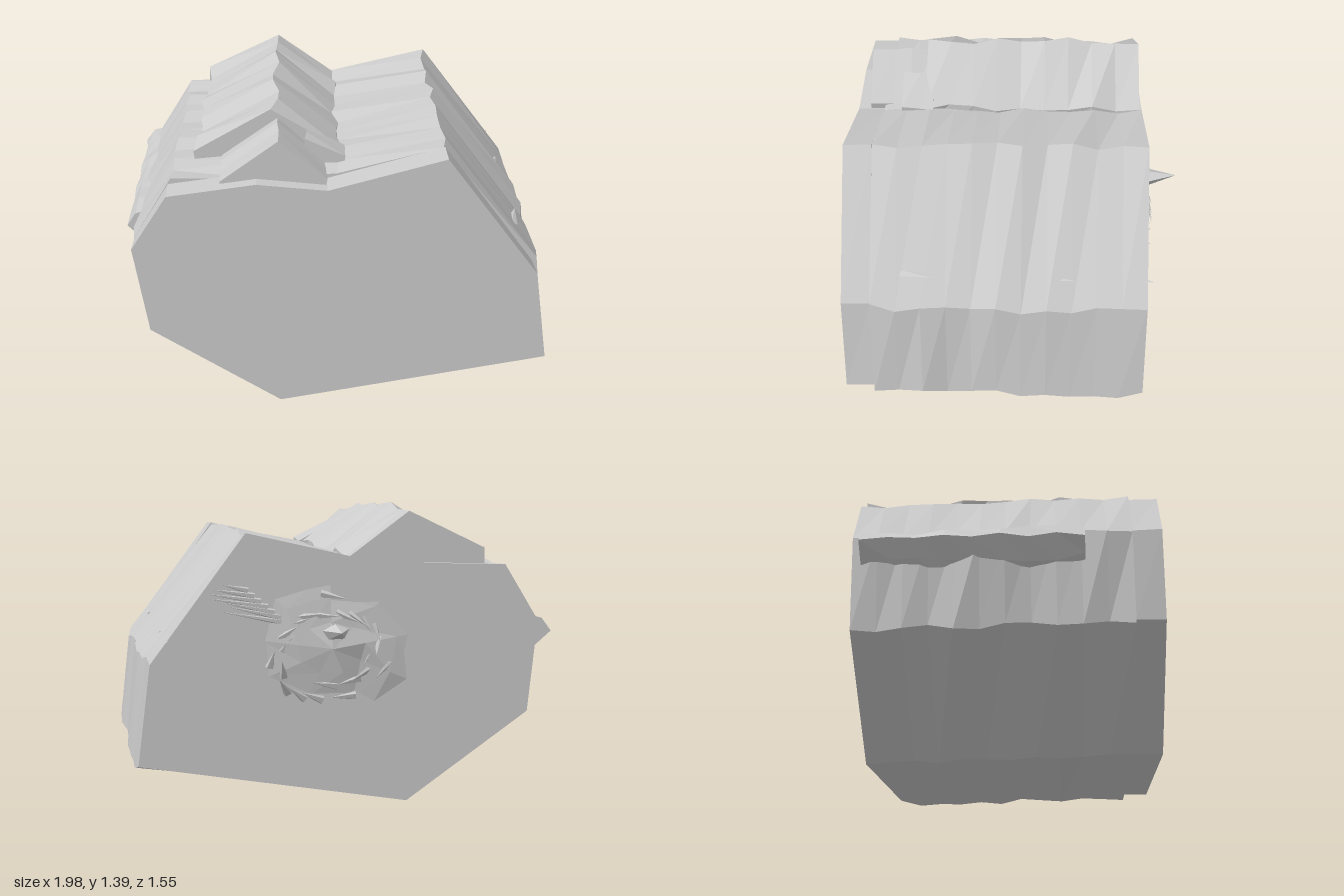
import * as THREE from 'three';

const material = new THREE.MeshStandardMaterial({ color: 0xcccccc, flatShading: true, side: THREE.DoubleSide });

// Small seeded noise source in the range -1..1
function seeded(seed) {
  return () => {
    seed = (seed * 16807) % 2147483647;
    return (seed / 2147483647) * 2 - 1;
  };
}

// Joins a counter-clockwise [x, y] outline through a list of z stations,
// front to back, shifting each corner a little to give chipped strata.
function strata(name, outline, stations, rough, seed) {
  const rnd = seeded(seed);
  const rings = stations.map((z) => outline.map(([x, y]) => new THREE.Vector3(
    x + rnd() * rough, Math.max(0.005, y + rnd() * rough), z)));
  const pos = [];
  const tri = (...corners) => corners.forEach((p) => pos.push(p.x, p.y, p.z));
  const n = outline.length;
  for (let s = 0; s < rings.length - 1; s++) {
    const f = rings[s], b = rings[s + 1];
    for (let i = 0; i < n; i++) {
      const j = (i + 1) % n;
      tri(f[i], b[i], b[j]);
      tri(f[i], b[j], f[j]);
    }
  }
  const first = rings[0], last = rings[rings.length - 1];
  for (const [a, b, c] of THREE.ShapeUtils.triangulateShape(first.map((p) => new THREE.Vector2(p.x, p.y)), [])) {
    tri(first[a], first[b], first[c]);
  }
  for (const [a, b, c] of THREE.ShapeUtils.triangulateShape(last.map((p) => new THREE.Vector2(p.x, p.y)), [])) {
    tri(last[c], last[b], last[a]);
  }
  const geometry = new THREE.BufferGeometry();
  geometry.setAttribute('position', new THREE.Float32BufferAttribute(pos, 3));
  geometry.computeVertexNormals();
  const mesh = new THREE.Mesh(geometry, material);
  mesh.name = name;
  return mesh;
}

// Evenly spaced z stations
const span = (from, to, count) => Array.from({ length: count + 1 }, (_, i) => from + ((to - from) * i) / count);

// Pointed stone sliver from a base point to a tip
function shard(name, base, tip, radius, flat = 1) {
  const a = new THREE.Vector3(...base), b = new THREE.Vector3(...tip);
  const dir = b.clone().sub(a);
  const geometry = new THREE.ConeGeometry(radius, dir.length(), 5);
  geometry.translate(0, dir.length() / 2, 0);
  geometry.scale(1, 1, flat);
  const mesh = new THREE.Mesh(geometry, material);
  mesh.name = name;
  mesh.position.copy(a);
  mesh.quaternion.setFromUnitVectors(new THREE.Vector3(0, 1, 0), dir.normalize());
  return mesh;
}

export function createModel() {
  const rock = new THREE.Group();
  rock.name = 'rock';

  // Smooth slab at the front
  rock.add(strata('frontSlab', [
    [-0.27, 0.04], [0.96, 0.26], [0.89, 0.70], [0.47, 1.27], [-0.05, 1.13],
    [-0.36, 1.16], [-0.75, 1.11], [-0.92, 0.85], [-0.86, 0.44],
  ], [0.77, 0.64], 0.004, 11));

  // Main mass with rippled sides
  rock.add(strata('body', [
    [-0.28, 0.03], [0.975, 0.235], [0.915, 0.70], [0.47, 1.275], [0.0, 1.16],
    [-0.36, 1.15], [-0.74, 1.12], [-0.92, 0.85], [-0.86, 0.43],
  ], span(0.64, -0.6, 11), 0.018, 27));

  // Peaked ridge, with a lower step toward the front
  rock.add(strata('ridge', [
    [-0.62, 1.05], [0.0, 1.05], [0.01, 1.18], [-0.28, 1.39], [-0.64, 1.19],
  ], span(0.44, -0.59, 9), 0.02, 43));
  rock.add(strata('ridgeStep', [
    [-0.52, 1.05], [-0.06, 1.05], [-0.05, 1.16], [-0.27, 1.34], [-0.52, 1.16],
  ], [0.71, 0.6, 0.52, 0.42], 0.01, 61));
  rock.add(strata('valleyLedge', [
    [-0.15, 1.05], [0.02, 1.05], [0.03, 1.19], [-0.14, 1.28],
  ], [0.55, 0.47, 0.4], 0.01, 67));

  // Angular bulge along the right side of the rock
  rock.add(strata('sideBulge', [
    [-0.85, 0.68], [-0.8, 0.9], [-0.93, 0.87], [-0.985, 0.81], [-0.91, 0.73],
  ].reverse(), span(0.43, -0.56, 8), 0.014, 83));

  // Narrow chips on the opposite side
  for (const [y, z] of [[0.82, 0.43], [0.81, -0.2], [0.81, -0.55]]) {
    rock.add(shard('sideChip', [0.81, y, z + 0.07], [0.85, y, z - 0.08], 0.03, 0.4));
  }

  // Low fractured mound on the back face
  const rnd = seeded(97);
  const mound = new THREE.ConeGeometry(0.48, 0.05, 9, 3);
  const p = mound.attributes.position;
  for (let i = 0; i < p.count; i++) {
    if (p.getY(i) > -0.02) p.setY(i, p.getY(i) + rnd() * 0.012);
  }
  mound.rotateX(-Math.PI / 2);
  const moundMesh = new THREE.Mesh(mound, material);
  moundMesh.name = 'backMound';
  moundMesh.scale.set(1, 0.75, 1);
  moundMesh.position.set(0.1, 0.76, -0.615);
  rock.add(moundMesh);

  // Tall spike and scattered splinters around the back fracture
  rock.add(shard('backSpike', [0.08, 0.83, -0.6], [0.09, 0.85, -0.78], 0.075, 0.6));
  for (let i = 0; i < 22; i++) {
    const angle = (i / 22) * Math.PI * 2;
    const r = 0.25 + rnd() * 0.06;
    const x = 0.1 + Math.cos(angle) * r, y = 0.75 + Math.sin(angle) * r * 0.85;
    rock.add(shard('backSplinter', [x, y, -0.6],
      [x + Math.cos(angle + 2) * 0.12, y + Math.sin(angle + 2) * 0.08, -0.64 + rnd() * 0.02], 0.022, 0.6));
  }
  for (let i = 0; i < 7; i++) {
    rock.add(shard('backSliver', [0.3 + i * 0.03, 0.88 + i * 0.025, -0.6],
      [0.62 + rnd() * 0.06, 0.94 + i * 0.02, -0.615], 0.016, 0.6));
  }

  return rock;
}
